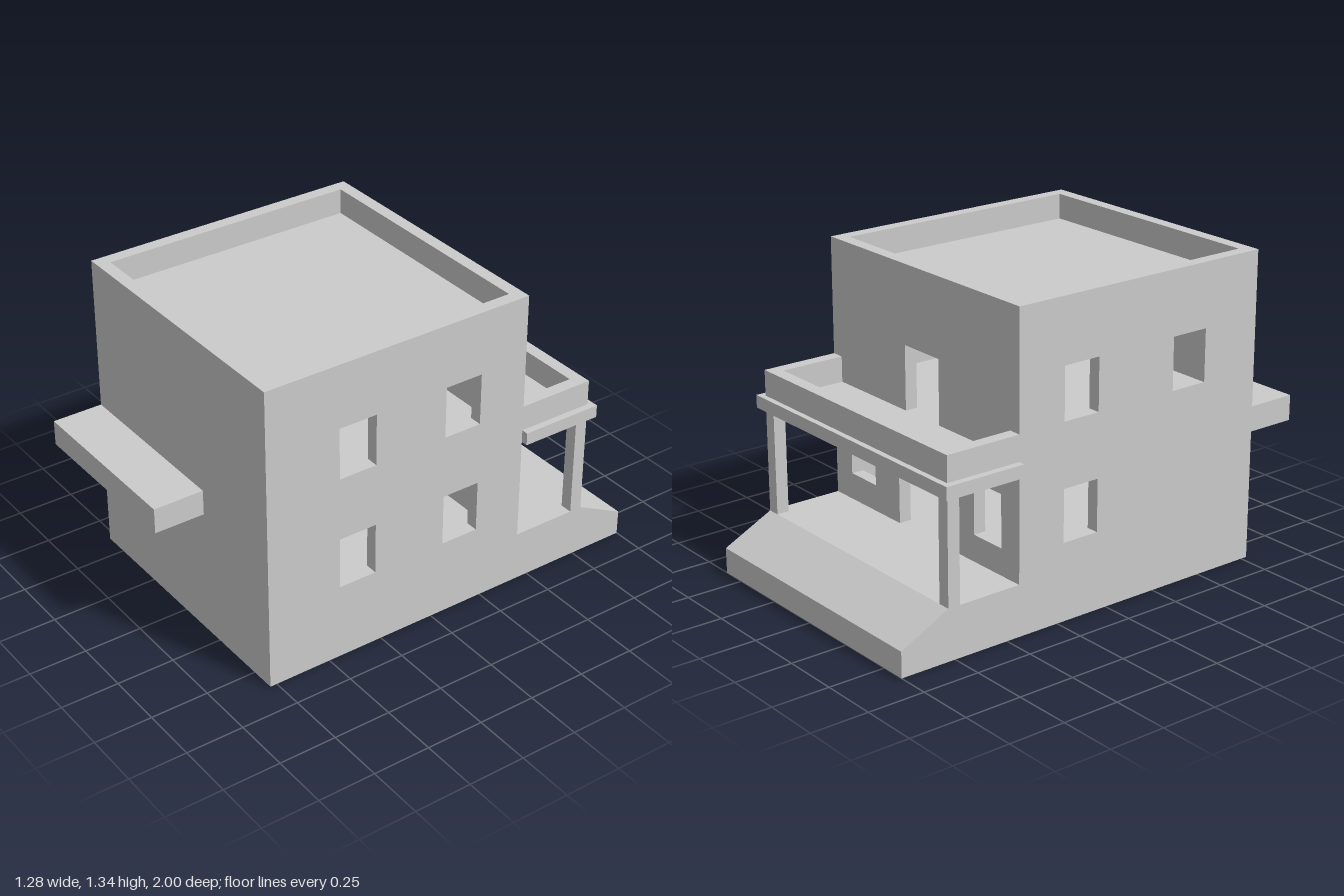
import * as THREE from 'three';

const W = 0.61;    // half width of the house
const T = 0.055;   // wall and slab thickness
const BACK = -0.44, FRONT = 0.78, PORCH = -0.78;
const GROUND = 0.22, UPPER = 0.725, ROOF = 1.225, TOP = 1.335;

const material = new THREE.MeshStandardMaterial({ color: 0xcccccc, flatShading: true });

const outline = (pts) => pts.map(([x, y]) => new THREE.Vector2(x, y));
const rect = (x0, x1, y0, y1) => [[x0, y0], [x1, y0], [x1, y1], [x0, y1]];

// Extruded panel with cut-outs
function panel(points, holes, depth) {
  const shape = new THREE.Shape(outline(points));
  holes.forEach((h) => shape.holes.push(new THREE.Path(outline(h))));
  return new THREE.ExtrudeGeometry(shape, { depth, bevelEnabled: false });
}

export function createModel() {
  const group = new THREE.Group();

  const add = (name, geometry) => {
    const mesh = new THREE.Mesh(geometry, material);
    mesh.name = name;
    group.add(mesh);
    return mesh;
  };

  const box = (name, x0, x1, y0, y1, z0, z1) =>
    add(name, new THREE.BoxGeometry(x1 - x0, y1 - y0, z1 - z0)
      .translate((x0 + x1) / 2, (y0 + y1) / 2, (z0 + z1) / 2));

  // Profile drawn in (-z, y) and extruded along x
  const sidePanel = (name, points, holes, x0, x1) =>
    add(name, panel(points, holes, x1 - x0).rotateY(Math.PI / 2).translate(x0, 0, 0));

  // Base with porch floor and sloped entrance ramp
  sidePanel('base', [[-FRONT, 0], [1, 0], [1, 0.11], [-PORCH, GROUND], [-FRONT, GROUND]], [], -W, W);

  // Side walls with windows; the stair side has no lower front window
  const wall = rect(-FRONT, -BACK, GROUND, TOP);
  const low = [0.335, 0.56], high = [0.835, 1.06];
  const rearWindows = [rect(0.05, 0.22, ...low), rect(0.05, 0.22, ...high)];
  sidePanel('leftWall', wall,
    [...rearWindows, rect(-0.45, -0.28, ...low), rect(-0.45, -0.28, ...high)], W - T, W);
  sidePanel('rightWall', wall,
    [...rearWindows, rect(-0.505, -0.335, ...high)], -W, T - W);

  // Front wall is blank, back wall has doors and windows
  box('frontWall', T - W, W - T, GROUND, TOP, FRONT - T, FRONT);
  const i = W - T;
  const backOutline = [[-i, GROUND], [-0.165, GROUND], [-0.165, 0.555], [0.165, 0.555],
    [0.165, GROUND], [i, GROUND], [i, TOP], [-i, TOP]];
  add('backWall', panel(backOutline, [
    rect(-0.5, -0.33, ...low), rect(0.33, 0.5, ...low), rect(-0.11, 0.11, UPPER, 1.0),
  ], T).translate(0, 0, BACK));

  // Upper floor with stair opening, and roof deck
  const floorBack = BACK + T, floorFront = FRONT - T;
  const stairX = -0.34, stairTop = -0.11;
  add('upperFloor', panel([[-i, -floorFront], [i, -floorFront], [i, -floorBack], [-i, -floorBack],
    [-i, -stairTop], [stairX, -stairTop], [stairX, -floorFront + 0.001], [-i, -floorFront + 0.001]],
  [], T).rotateX(-Math.PI / 2).translate(0, UPPER - T, 0));
  box('roof', -i, i, ROOF - T, ROOF, floorBack, floorFront);

  // Inclined stair flight along the right wall
  sidePanel('stairFlight', [[-floorFront, GROUND], [-stairTop, UPPER - T],
    [-stairTop, UPPER], [-floorFront, GROUND + T]], [], -i, stairX);

  // Porch roof, which is the floor of the rear balcony
  box('porchRoof', -0.64, 0.64, UPPER - T, UPPER, -0.805, BACK);
  box('balconyRearParapet', -W, W, UPPER, 0.835, PORCH, PORCH + T);
  for (const s of [-1, 1]) {
    const x0 = Math.min(s * W, s * i), x1 = Math.max(s * W, s * i);
    box('balconySideParapet', x0, x1, UPPER, 0.835, PORCH + T, BACK);
    box('porchColumn', x0, x1, GROUND, UPPER - T, PORCH, PORCH + T);
  }

  // Canopy on the front wall
  box('frontCanopy', -W, 0.165, 0.56, 0.67, FRONT, 1);

  return group;
}
